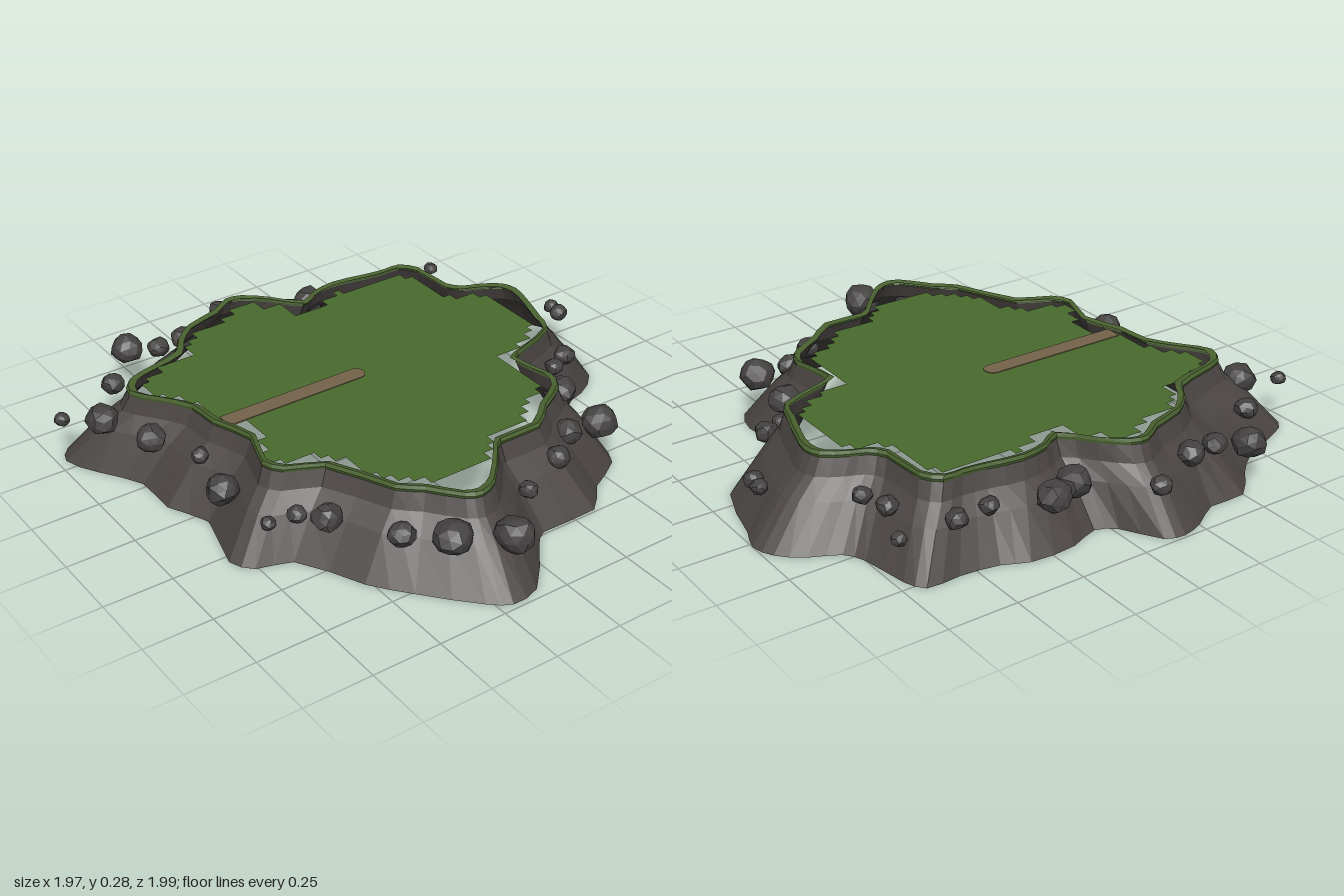
import * as THREE from 'three';
import { mergeGeometries, mergeVertices } from 'three/addons/utils/BufferGeometryUtils.js';

// Matching x, z outlines of the foot and the rim, counterclockwise from the back
const FOOT = [
  -.27, -1, -.35, -.97, -.42, -.89, -.47, -.79, -.54, -.75, -.71, -.72, -.78, -.68, -.78, -.56, -.8, -.42,
  -.84, -.33, -.84, -.16, -.8, -.05, -.84, .02, -.97, .1, -.99, .17, -.96, .26, -.9, .36, -.9, .5,
  -.79, .61, -.71, .71, -.62, .93, -.55, .97, -.42, .91, -.27, .82, -.1, .82, .05, .75, .28, .81,
  .36, .76, .4, .64, .63, .52, .76, .42, .93, .27, .98, .2, .96, .09, .79, -.06, .74, -.12,
  .74, -.34, .64, -.44, .56, -.58, .45, -.62, .28, -.6, .2, -.63, .15, -.79, .07, -.9, -.18, -.97];
const RIM = [
  -.23, -.77, -.29, -.75, -.34, -.67, -.36, -.62, -.41, -.58, -.58, -.57, -.64, -.52, -.64, -.45, -.65, -.37,
  -.67, -.24, -.65, -.14, -.61, -.07, -.71, .02, -.78, .1, -.79, .16, -.74, .24, -.7, .37, -.63, .45,
  -.56, .5, -.52, .63, -.49, .72, -.42, .76, -.33, .7, -.22, .63, -.1, .62, .05, .57, .2, .62,
  .27, .58, .33, .46, .56, .35, .62, .28, .72, .2, .74, .15, .71, .08, .59, -.03, .54, -.08,
  .54, -.24, .46, -.34, .39, -.45, .32, -.48, .16, -.45, .12, -.53, .06, -.68, -.02, -.71, -.14, -.75];

// Grass rows: z start, z end, x left, x right
const GRASS_ROWS = [
  [-.67, -.64, -.28, 0], [-.64, -.6, -.32, .03], [-.6, -.56, -.32, .07], [-.56, -.53, -.36, .07],
  [-.53, -.5, -.56, .1], [-.5, -.42, -.6, .1], [-.42, -.39, -.6, .35], [-.39, -.32, -.6, .38],
  [-.32, -.28, -.6, .41], [-.28, -.24, -.6, .45], [-.24, -.21, -.63, .49], [-.21, -.14, -.6, .49],
  [-.14, -.07, -.56, .49], [-.07, -.04, -.56, .53], [-.04, 0, -.56, .56], [0, .07, -.67, .6],
  [.07, .18, -.74, .6], [.18, .24, -.7, .6], [.24, .28, -.67, .56], [.28, .32, -.67, .53],
  [.32, .35, -.67, .49], [.35, .38, -.67, .45], [.38, .42, -.63, .32], [.42, .45, -.6, .28],
  [.45, .525, -.53, .24], [.525, .56, -.53, -.07], [.525, .56, .07, .24], [.56, .6, -.53, -.1],
  [.56, .6, .14, .21], [.6, .63, -.49, -.25], [.63, .67, -.49, -.32], [.67, .7, -.46, -.36]];

// Rocks: x, z, radius
const ROCKS = [
  [-.2, -.93, .03], [-.15, -.92, .034], [-.72, -.74, .027], [-.53, -.66, .038], [-.43, -.69, .034],
  [-.72, -.53, .04], [-.71, -.4, .034], [-.78, -.2, .06], [-.74, -.09, .06], [.11, -.73, .042],
  [.15, -.65, .034], [.29, -.56, .06], [.52, -.54, .067], [.51, -.41, .05], [.61, -.28, .044],
  [.7, -.08, .034], [.865, .11, .07], [.77, .28, .068], [.66, .4, .048], [.45, .54, .054],
  [.38, .61, .034], [.37, .71, .027], [.12, .73, .06], [-.09, .69, .033], [-.28, .77, .054],
  [-.48, .85, .06], [-.56, .965, .028], [-.67, .71, .042], [-.86, .55, .06], [-.81, .34, .048],
  [-.8, .45, .042], [-.92, .12, .038]];

const SAMPLES = FOOT.length;

function smoothLoop(flat) {
  const pts = [];
  for (let i = 0; i < flat.length; i += 2) pts.push(new THREE.Vector3(flat[i], 0, flat[i + 1]));
  const curve = new THREE.CatmullRomCurve3(pts, true);
  return Array.from({ length: SAMPLES }, (_, i) => curve.getPoint(i / SAMPLES));
}

// Joins closed rings of points, listed from the bottom up
function loft(rings) {
  const pos = [], index = [], n = SAMPLES;
  rings.forEach(r => r.forEach(p => pos.push(p.x, p.y, p.z)));
  for (let r = 0; r < rings.length - 1; r++) {
    for (let i = 0; i < n; i++) {
      const a = r * n + i, b = r * n + (i + 1) % n;
      index.push(a, b, a + n, b, b + n, a + n);
    }
  }
  const g = new THREE.BufferGeometry();
  g.setAttribute('position', new THREE.Float32BufferAttribute(pos, 3));
  g.setIndex(index);
  g.computeVertexNormals();
  return g;
}

function seeded(seed) {
  return () => (seed = (seed * 16807) % 2147483647) / 2147483647;
}

export function createModel() {
  const model = new THREE.Group();
  const material = (name, color, side = THREE.FrontSide) =>
    new THREE.MeshStandardMaterial({ name, color, side, flatShading: true });
  const cliffStone = material('cliff stone', 0x4b4644, THREE.DoubleSide);
  const rockStone = material('rock stone', 0x454242);
  const rimGreen = material('rim green', 0x4a6330, THREE.DoubleSide);
  const grassGreen = material('grass green', 0x4a6b2d, THREE.DoubleSide);
  const pathBrown = material('path brown', 0x75644c);
  const add = (name, geometry, mat, parent = model) => {
    const mesh = new THREE.Mesh(geometry, mat);
    mesh.name = name;
    parent.add(mesh);
    return mesh;
  };

  // Open cliff wall, sloping in from foot to rim
  const foot = smoothLoop(FOOT), rim = smoothLoop(RIM);
  const ring = (t, y) => foot.map((p, i) => p.clone().lerp(rim[i], t).setY(y));
  add('cliffWall', loft([ring(0, 0), ring(.53, .14), ring(.84, .2), ring(.97, .26)]), cliffStone);

  // Grassy lip around the top
  add('grassLip', loft([ring(.97, .255), ring(.95, .268), ring(.98, .28), ring(1.08, .275)]), rimGreen);

  // Stepped lawn, one flat strip per row
  const strips = GRASS_ROWS.map(([z0, z1, x0, x1]) =>
    new THREE.PlaneGeometry(x1 - x0, z1 - z0).rotateX(-Math.PI / 2)
      .translate((x0 + x1) / 2, .262, (z0 + z1) / 2));
  add('lawn', mergeGeometries(strips), grassGreen);

  // Footpath with a rounded end, showing on both faces of the lawn
  const outline = new THREE.Shape();
  outline.moveTo(-.122, -.59);
  outline.lineTo(-.058, -.59);
  outline.lineTo(-.058, -.055);
  outline.absarc(-.09, -.055, .032, 0, Math.PI, false);
  outline.closePath();
  const path = new THREE.ExtrudeGeometry(outline, { depth: .006, bevelEnabled: false, curveSegments: 6 });
  add('footpath', path.rotateX(-Math.PI / 2).translate(0, .259, 0), pathBrown);

  // Lumpy rocks set along the slope
  const rocks = new THREE.Group();
  rocks.name = 'rocks';
  model.add(rocks);
  const rand = seeded(41);
  ROCKS.forEach(([x, z, radius]) => {
    let g = new THREE.IcosahedronGeometry(radius, 1);
    g.deleteAttribute('normal');
    g.deleteAttribute('uv');
    g = mergeVertices(g, 1e-5);
    const p = g.attributes.position;
    for (let i = 0; i < p.count; i++) {
      const s = .88 + rand() * .2;
      p.setXYZ(i, p.getX(i) * s, p.getY(i) * s * .88, p.getZ(i) * s);
    }
    g.computeVertexNormals();
    const rock = add('rock', g, rockStone, rocks);
    rock.position.set(x, .165, z);
    rock.rotation.y = rand() * Math.PI * 2;
  });

  return model;
}
